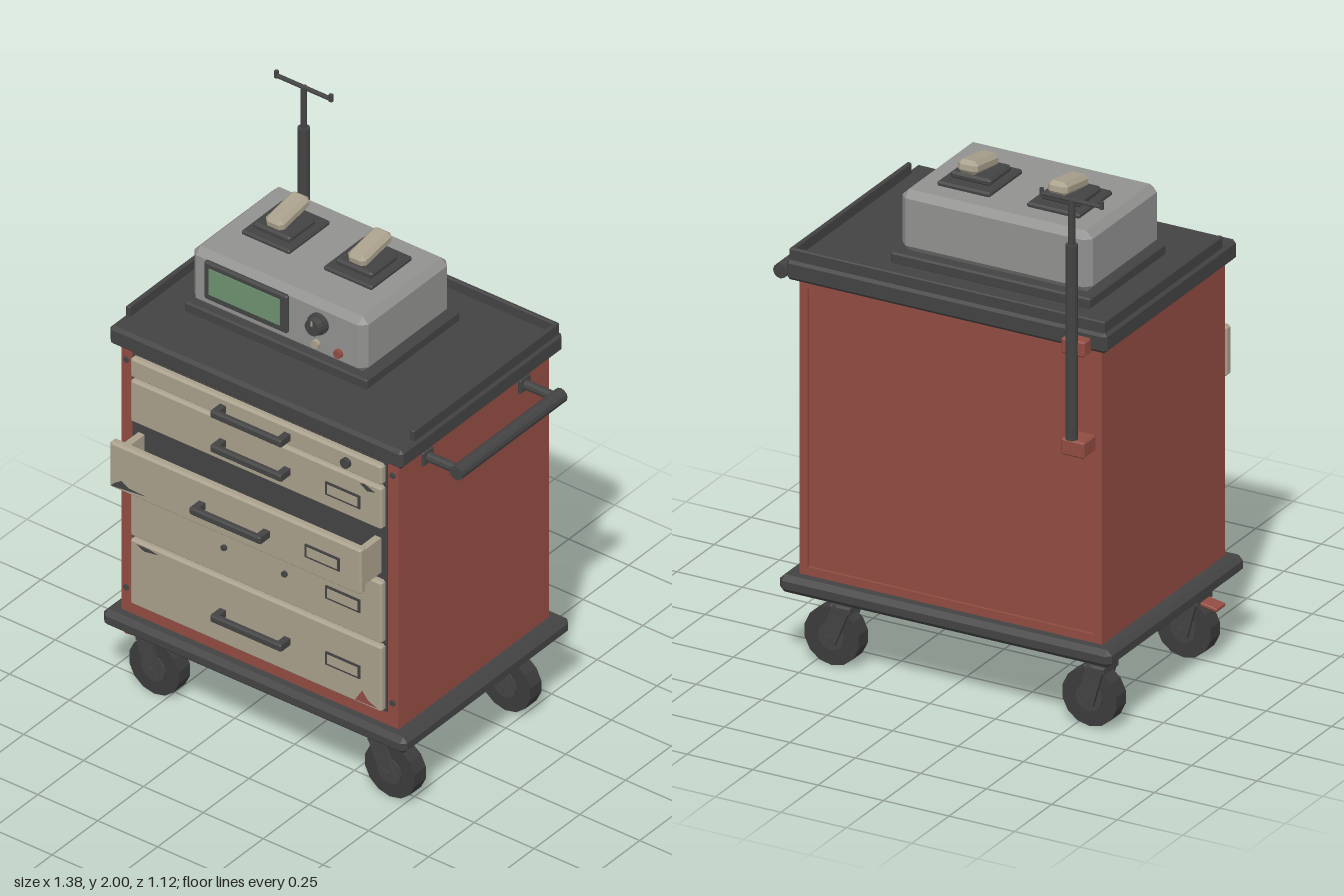
import * as THREE from 'three';
import { ConvexGeometry } from 'three/addons/geometries/ConvexGeometry.js';

const material = (name, color) => {
  const m = new THREE.MeshStandardMaterial({ color });
  m.name = name;
  return m;
};

export function createModel() {
  const red = material('red paint', 0x914c41);
  const cream = material('cream paint', 0xa9a08c);
  const dark = material('dark plastic', 0x434343);
  const rubber = material('rubber', 0x3b3b3b);
  const grey = material('grey casing', 0x919190);
  const green = material('screen green', 0x6d9270);

  const cart = new THREE.Group();
  cart.name = 'cart';

  const group = (name, parent = cart) => {
    const g = new THREE.Group();
    g.name = name;
    parent.add(g);
    return g;
  };
  const add = (name, geometry, mat, parent = cart) => {
    const mesh = new THREE.Mesh(geometry, mat);
    mesh.name = name;
    parent.add(mesh);
    return mesh;
  };

  // Box between two corners, with edges cut by c
  const box = (name, mat, [x0, x1], [y0, y1], [z0, z1], c = 0, parent = cart) => {
    const h = [(x1 - x0) / 2, (y1 - y0) / 2, (z1 - z0) / 2];
    let geometry;
    if (c > 0) {
      const points = [];
      for (const sx of [-1, 1]) for (const sy of [-1, 1]) for (const sz of [-1, 1])
        for (let k = 0; k < 3; k++) {
          const p = h.map((v, i) => (i === k ? v : v - c));
          points.push(new THREE.Vector3(sx * p[0], sy * p[1], sz * p[2]));
        }
      geometry = new ConvexGeometry(points);
    } else geometry = new THREE.BoxGeometry(h[0] * 2, h[1] * 2, h[2] * 2);
    const mesh = add(name, geometry, mat, parent);
    mesh.position.set((x0 + x1) / 2, (y0 + y1) / 2, (z0 + z1) / 2);
    return mesh;
  };

  // Flat-sided cylinder along an axis
  const rod = (name, mat, axis, r, length, [x, y, z], sides = 12, parent = cart, r2 = r) => {
    const g = new THREE.CylinderGeometry(r2, r, length, sides).toNonIndexed();
    g.computeVertexNormals();
    if (axis === 'x') g.rotateZ(-Math.PI / 2);
    if (axis === 'z') g.rotateX(Math.PI / 2);
    const mesh = add(name, g, mat, parent);
    mesh.position.set(x, y, z);
    return mesh;
  };

  // Cabinet with raised frame on the back
  box('cabinet', red, [-0.636, 0.52], [0.34, 1.42], [-0.45, 0.363]);
  for (const [a, b] of [[-0.636, -0.606], [0.49, 0.52]]) box('backStile', red, [a, b], [0.342, 1.42], [-0.46, -0.45]);
  for (const [a, b] of [[0.342, 0.372], [1.39, 1.42]]) box('backRail', red, [-0.606, 0.49], [a, b], [-0.46, -0.45]);
  box('drawerRecess', dark, [-0.588, 0.475], [0.395, 1.4], [0.363, 0.367]);
  for (const x of [-0.615, 0.497]) for (const y of [0.44, 1.36])
    rod('frameScrew', dark, 'z', 0.011, 0.008, [x, y, 0.365], 8);

  // Base and worktop
  box('base', dark, [-0.69, 0.578], [0.278, 0.342], [-0.507, 0.408], 0.018);
  box('worktop', dark, [-0.667, 0.557], [1.418, 1.492], [-0.492, 0.395], 0.012);
  box('leftRim', dark, [0.531, 0.548], [1.485, 1.532], [-0.482, 0.315], 0.004);
  box('rightRim', dark, [-0.657, -0.64], [1.485, 1.532], [-0.482, 0.315], 0.004);
  box('backRim', dark, [-0.657, 0.548], [1.485, 1.532], [-0.482, -0.465], 0.004);

  // Drawers: bottom, top, front face, handle height, has handle, has label
  const drawers = [
    [1.317, 1.396, 0.39, 1.356, true, false],
    [1.137, 1.308, 0.39, 1.217, true, true],
    [0.936, 1.12, 0.503, 1.027, true, true],
    [0.676, 0.926, 0.39, 0.797, false, true],
    [0.4, 0.666, 0.39, 0.53, true, true],
  ];
  drawers.forEach(([y0, y1, z, y, hasHandle, hasLabel], i) => {
    const d = group(`drawer${i + 1}`);
    box('drawerFront', cream, [-0.582, 0.468], [y0, y1], [z - 0.034, z], 0.008, d);
    if (hasHandle) {
      for (const x of [-0.192, 0.077]) box('handlePost', dark, [x - 0.013, x + 0.013], [y - 0.013, y + 0.013], [z - 0.002, z + 0.05], 0, d);
      box('handleBar', dark, [-0.207, 0.09], [y - 0.015, y + 0.015], [z + 0.032, z + 0.056], 0.006, d);
    } else {
      for (const x of [-0.185, 0.068]) rod('handleHole', dark, 'z', 0.011, 0.014, [x, y, z + 0.004], 8, d);
    }
    if (hasLabel) {
      box('labelFrame', dark, [0.238, 0.382], [y - 0.026, y + 0.026], [z - 0.002, z + 0.005], 0, d);
      box('labelCard', cream, [0.247, 0.373], [y - 0.018, y + 0.018], [z, z + 0.007], 0, d);
    }
  });
  rod('lock', dark, 'z', 0.019, 0.02, [0.325, 1.356, 0.395], 12);

  // Open drawer tray
  const tray = group('openTray');
  for (const [a, b] of [[-0.563, -0.537], [0.425, 0.451]]) box('traySide', cream, [a, b], [0.95, 1.09], [0.363, 0.472], 0, tray);
  box('trayFloor', dark, [-0.537, 0.425], [0.95, 0.965], [0.363, 0.472], 0, tray);

  // Worn paint patches
  const chip = (mat, z, points) => {
    const g = new THREE.ShapeGeometry(new THREE.Shape(points.map(([x, y]) => new THREE.Vector2(x, y))));
    add('paintChip', g, mat).position.z = z;
  };
  chip(dark, 0.505, [[-0.575, 0.945], [-0.425, 0.962], [-0.5, 0.965], [-0.53, 0.982], [-0.555, 0.965]]);
  chip(dark, 0.392, [[-0.555, 0.655], [-0.52, 0.638], [-0.46, 0.648], [-0.5, 0.655]]);
  chip(dark, 0.392, [[0.38, 1.295], [0.41, 1.275], [0.445, 1.283], [0.4, 1.3]]);
  chip(red, 0.392, [[0.36, 0.412], [0.455, 0.414], [0.415, 0.43], [0.39, 0.46]]);

  // Push handle
  const push = group('pushHandle');
  for (const z of [-0.318, 0.212]) {
    rod('pushArm', dark, 'x', 0.018, 0.15, [0.587, 1.366, z], 10, push);
    box('pushMount', dark, [0.518, 0.532], [1.338, 1.394], [z - 0.028, z + 0.028], 0.004, push);
  }
  rod('pushBar', dark, 'z', 0.027, 0.575, [0.662, 1.366, -0.053], 12, push);

  // Casters with trailing forks
  for (const [sx, wx] of [[-0.58, -0.55], [0.39, 0.435]]) for (const z of [0.268, -0.363]) {
    const c = group('caster');
    rod('swivelStem', dark, 'y', 0.032, 0.07, [sx, 0.25, z], 10, c);
    box('forkCrown', dark, [sx - 0.035, sx + 0.045], [0.2, 0.232], [z - 0.054, z + 0.054], 0.006, c);
    for (const s of [-1, 1]) {
      const angle = Math.atan2(wx - sx, 0.11);
      const leg = box('forkLeg', dark, [-0.031, 0.031], [-0.07, 0.07], [-0.007, 0.007], 0, c);
      leg.position.set((sx + wx) / 2 + 0.003, 0.158, z + s * 0.046);
      leg.rotation.z = angle;
    }
    rod('wheel', rubber, 'z', 0.106, 0.062, [wx, 0.106, z], 14, c);
    rod('wheelHub', dark, 'z', 0.05, 0.074, [wx, 0.106, z], 12, c);
    rod('axle', dark, 'z', 0.014, 0.116, [wx, 0.106, z], 8, c);
  }
  const pedal = box('brakePedal', red, [-0.045, 0.045], [-0.007, 0.007], [-0.03, 0.03], 0.003);
  pedal.position.set(-0.632, 0.204, 0.268);
  pedal.rotation.z = 0.17;

  // Telescopic pole with hooked crossbar
  const pole = group('pole');
  box('upperBracket', red, [-0.61, -0.52], [1.41, 1.468], [-0.535, -0.485], 0.006, pole);
  box('lowerBracket', red, [-0.61, -0.52], [1.042, 1.102], [-0.538, -0.455], 0.006, pole);
  rod('outerPole', dark, 'y', 0.021, 0.71, [-0.565, 1.465, -0.54], 12, pole);
  rod('innerPole', dark, 'y', 0.012, 0.17, [-0.565, 1.9, -0.54], 10, pole);
  rod('crossbar', dark, 'x', 0.008, 0.235, [-0.565, 1.982, -0.54], 8, pole);
  for (const x of [-0.679, -0.451]) rod('hookTip', dark, 'y', 0.008, 0.026, [x, 1.987, -0.54], 8, pole);

  // Control unit
  const unit = group('controlUnit');
  box('pad', dark, [-0.52, 0.242], [1.488, 1.53], [-0.34, 0.174], 0.006, unit);
  box('casing', grey, [-0.505, 0.222], [1.53, 1.752], [-0.318, 0.162], 0.025, unit);
  box('screenBezel', dark, [-0.438, -0.09], [1.576, 1.73], [0.155, 0.176], 0.007, unit);
  box('screen', green, [-0.414, -0.118], [1.604, 1.708], [0.172, 0.179], 0, unit);
  rod('dialBase', dark, 'z', 0.039, 0.02, [0.037, 1.672, 0.17], 16, unit);
  rod('dial', dark, 'z', 0.036, 0.03, [0.037, 1.672, 0.19], 16, unit, 0.03);
  box('dialMark', cream, [0.034, 0.04], [1.68, 1.7], [0.2, 0.207], 0, unit);
  rod('creamButton', cream, 'z', 0.016, 0.02, [0.026, 1.585, 0.167], 12, unit);
  rod('redButton', red, 'z', 0.016, 0.02, [0.12, 1.585, 0.167], 12, unit);

  // Two paddles resting in cradles
  for (const x of [-0.313, 0.03]) {
    const p = group('paddle', unit);
    box('cradleBase', dark, [x - 0.101, x + 0.101], [1.748, 1.768], [-0.224, 0.002], 0.006, p);
    box('cradle', dark, [x - 0.077, x + 0.077], [1.765, 1.792], [-0.178, -0.03], 0.008, p);
    const grip = box('paddleGrip', cream, [-0.038, 0.038], [-0.024, 0.024], [-0.083, 0.083], 0.014, p);
    grip.position.set(x, 1.818, -0.122);
    grip.rotation.x = 0.16;
  }
  return cart;
}
